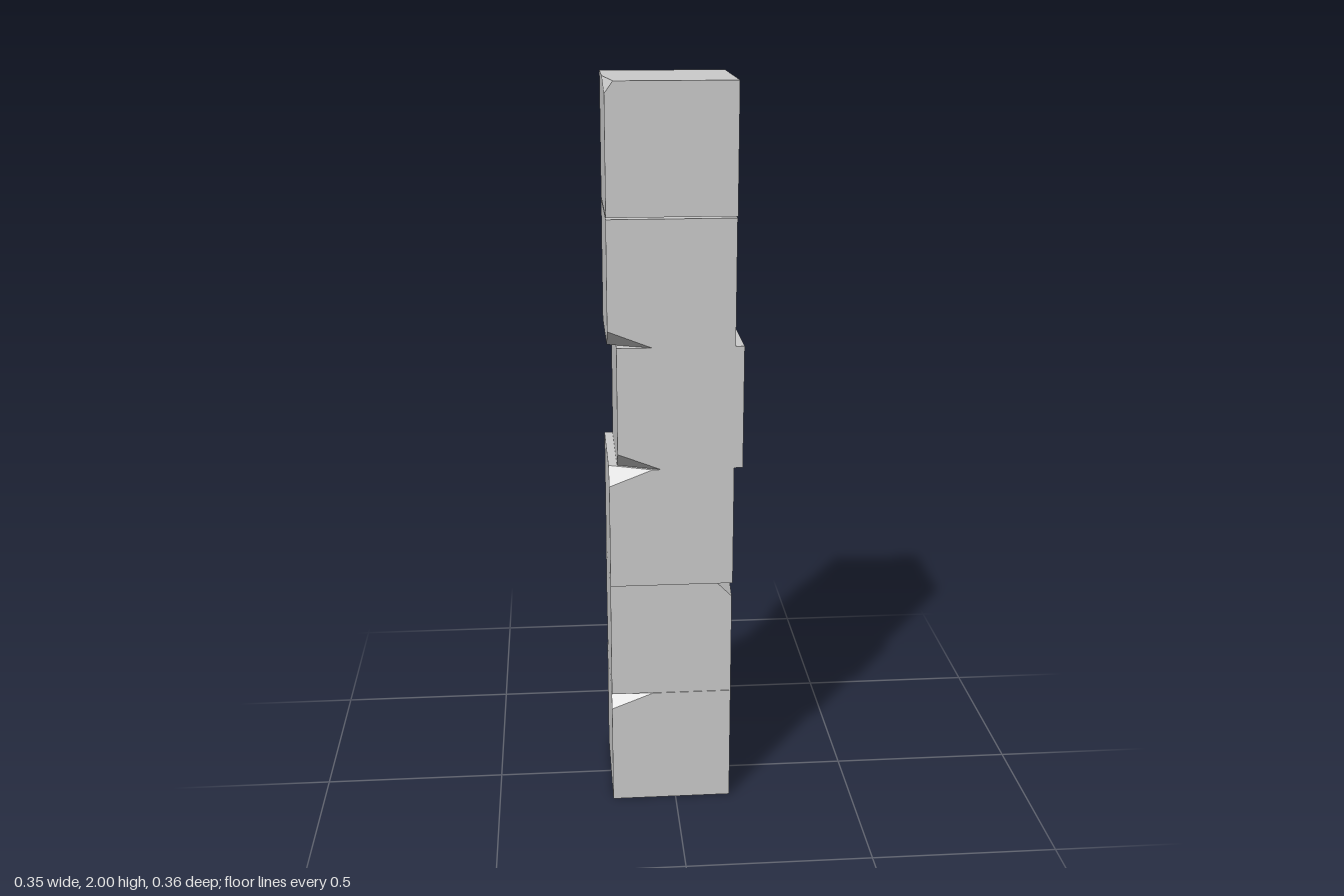
import * as THREE from 'three';
import { ConvexGeometry } from 'three/addons/geometries/ConvexGeometry.js';

const SIZE = 0.332;

// Chip shapes: how far the cut runs along x, y and z from its corner
const ALONG_X = [0.115, 0.045, 0.045];
const ALONG_Y = [0.02, 0.155, 0.032];
const ALONG_Z = [0.022, 0.03, 0.165];
const CORNER = [0.045, 0.045, 0.115];

// Blocks from bottom to top: centre, then chips as corner signs and cut lengths
const BLOCKS = [
  { x: -0.012, y: 0.166, z: -0.012, chips: [[-1, 1, 1, ALONG_X], [1, -1, -1, ALONG_Y]] },
  { x: -0.012, y: 0.499, z: -0.012, chips: [[1, 1, 1, CORNER], [-1, -1, -1, ALONG_Y]] },
  { x: -0.012, y: 0.832, z: 0.003, chips: [[-1, 1, 1, ALONG_X], [1, -1, -1, ALONG_Y]] },
  { x: 0.011, y: 1.164, z: 0.003, chips: [[-1, -1, 1, ALONG_X], [1, 1, -1, ALONG_Z]] },
  { x: -0.012, y: 1.496, z: 0.003, chips: [[-1, -1, 1, ALONG_X], [1, 1, -1, ALONG_Z]] },
  { x: -0.012, y: 1.834, z: 0.012, chips: [[-1, 1, 1, ALONG_Z], [1, -1, -1, ALONG_X]] },
];

// Cube whose chipped corners are each replaced by three points on the adjoining edges
function chippedCube(chips) {
  const h = SIZE / 2;
  const points = [];
  for (const sx of [-1, 1]) for (const sy of [-1, 1]) for (const sz of [-1, 1]) {
    const chip = chips.find(([x, y, z]) => x === sx && y === sy && z === sz);
    const corner = new THREE.Vector3(sx * h, sy * h, sz * h);
    if (!chip) {
      points.push(corner);
      continue;
    }
    const [dx, dy, dz] = chip[3];
    points.push(
      corner.clone().add(new THREE.Vector3(-sx * dx, 0, 0)),
      corner.clone().add(new THREE.Vector3(0, -sy * dy, 0)),
      corner.clone().add(new THREE.Vector3(0, 0, -sz * dz)),
    );
  }
  return new ConvexGeometry(points);
}

export function createModel() {
  const group = new THREE.Group();
  group.name = 'stonePillar';
  const material = new THREE.MeshStandardMaterial({ color: 0xcccccc, flatShading: true });

  BLOCKS.forEach(({ x, y, z, chips }, i) => {
    const block = new THREE.Mesh(chippedCube(chips), material);
    block.name = `stoneBlock${i + 1}`;
    block.position.set(x, y, z);
    group.add(block);
  });
  return group;
}
